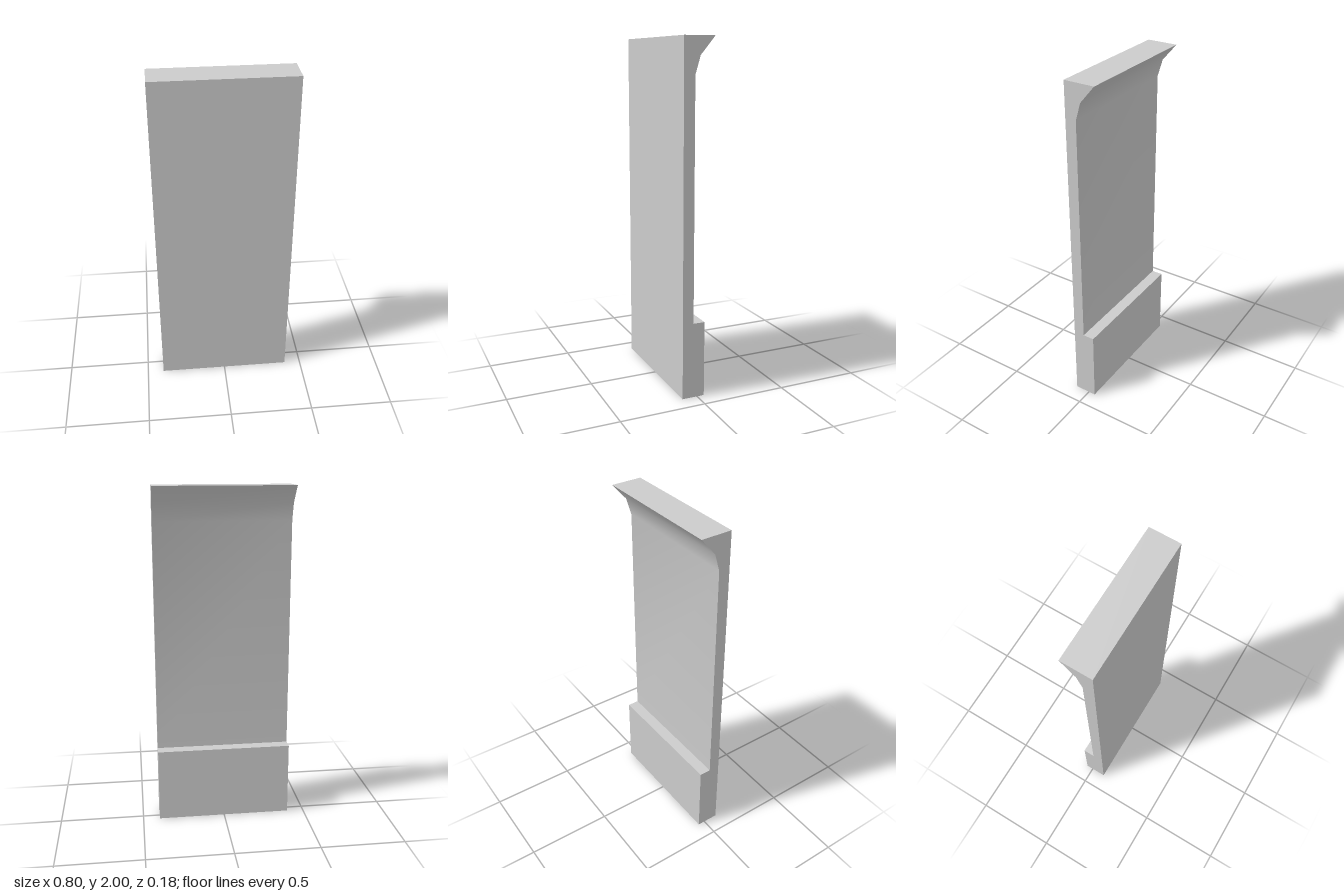
import * as THREE from 'three';
import { toCreasedNormals } from 'three/addons/utils/BufferGeometryUtils.js';

const WIDTH = 0.8;

export function createModel() {
  const group = new THREE.Group();
  group.name = 'wallPanel';

  // Side profile as (z, y): flat front, thick plinth and coved cornice at the back
  const profile = [
    [0.09, 0], [0.09, 2],
    [-0.09, 2], [-0.005, 1.9], [0.025, 1.8], // cornice cove
    [0.025, 0.44], [-0.043, 0.44], [-0.043, 0], // plinth step
  ];
  const shape = new THREE.Shape(profile.map(([z, y]) => new THREE.Vector2(z, y)));

  // Sweep the profile across the width
  const geometry = new THREE.ExtrudeGeometry(shape, { depth: WIDTH, bevelEnabled: false });
  geometry.rotateY(-Math.PI / 2);
  geometry.translate(WIDTH / 2, 0, 0);

  // Smooth the cove, keep all other edges sharp
  const panel = new THREE.Mesh(
    toCreasedNormals(geometry, 0.6),
    new THREE.MeshStandardMaterial({ color: 0xcccccc })
  );
  panel.name = 'panelWithPlinthAndCornice';
  group.add(panel);

  return group;
}
